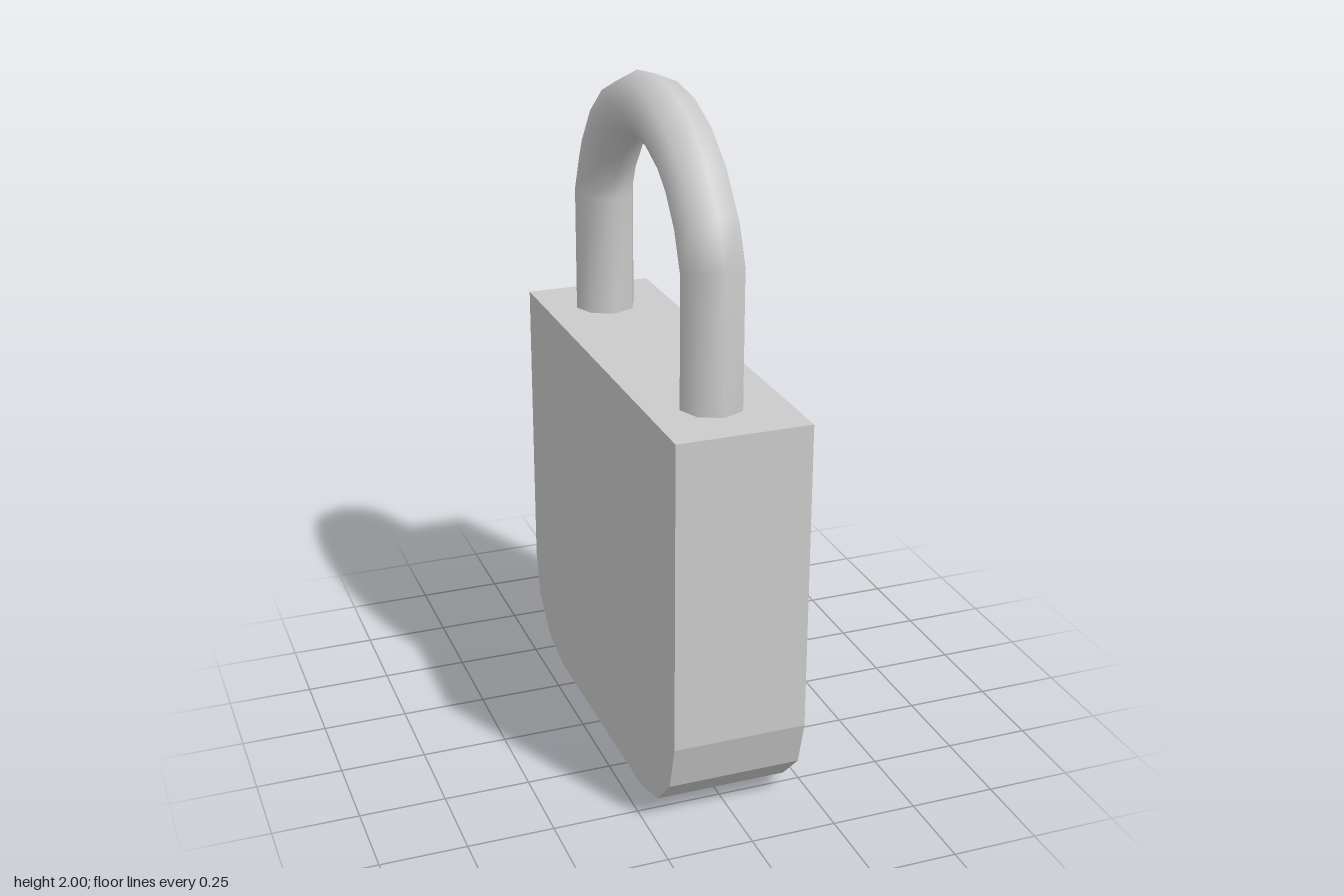
import * as THREE from 'three';
import { mergeVertices } from 'three/addons/utils/BufferGeometryUtils.js';

const BODY = { halfWidth: 0.65, depth: 0.39, top: 1.19, corner: 0.275 };
const SHACKLE = { tube: 0.092, radius: 0.46, centerY: 1.449, bottom: 1.16, steps: 12, sides: 8 };

// Flat slab with square top corners and faceted round bottom corners
function bodyGeometry() {
  const { halfWidth: w, depth, top, corner: r } = BODY;
  const points = [new THREE.Vector2(w, top), new THREE.Vector2(-w, top)];
  for (const [center, start] of [[-w + r, Math.PI], [w - r, 1.5 * Math.PI]]) {
    for (let i = 0; i <= 3; i++) {
      const a = start + (i / 3) * Math.PI / 2;
      points.push(new THREE.Vector2(center + r * Math.cos(a), r + r * Math.sin(a)));
    }
  }
  const geometry = new THREE.ExtrudeGeometry(new THREE.Shape(points), { depth, bevelEnabled: false });
  geometry.translate(0, 0, -depth / 2);
  geometry.rotateY(Math.PI / 2);
  return geometry;
}

// Eight-sided tube bent over an arch, with a straight leg at each end
function shackleGeometry() {
  const { tube, radius, centerY, bottom, steps, sides } = SHACKLE;
  let geometry = new THREE.CylinderGeometry(tube, tube, 1, sides, steps, true);
  const pos = geometry.attributes.position;
  for (let v = 0; v < pos.count; v++) {
    const row = Math.round((0.5 - pos.getY(v)) * steps);
    const offset = pos.getZ(v);
    const isEnd = row === 0 || row === steps;
    const angle = Math.PI * (1 - row / steps);
    // Leg ends sit straight below the first and last ring of the arch
    const ring = Math.PI * (1 - THREE.MathUtils.clamp(row, 1, steps - 1) / steps);
    const y = isEnd ? bottom : centerY + (radius + offset) * Math.sin(angle);
    const z = radius * Math.cos(ring) + offset * Math.cos(angle);
    pos.setXYZ(v, pos.getX(v), y, z);
  }
  // Weld the seam so the tube shades smoothly
  geometry.deleteAttribute('uv');
  geometry.deleteAttribute('normal');
  geometry = mergeVertices(geometry);
  geometry.computeVertexNormals();
  return geometry;
}

export function createModel() {
  const model = new THREE.Group();
  model.name = 'padlock';
  const material = new THREE.MeshStandardMaterial({ color: 0xcccccc });
  const tubeMaterial = new THREE.MeshStandardMaterial({ color: 0xcccccc, side: THREE.DoubleSide });

  const body = new THREE.Mesh(bodyGeometry(), material);
  body.name = 'body';

  const shackle = new THREE.Mesh(shackleGeometry(), tubeMaterial);
  shackle.name = 'shackle';
  shackle.position.set(-0.01, 0, -0.01);

  model.add(body, shackle);
  return model;
}
